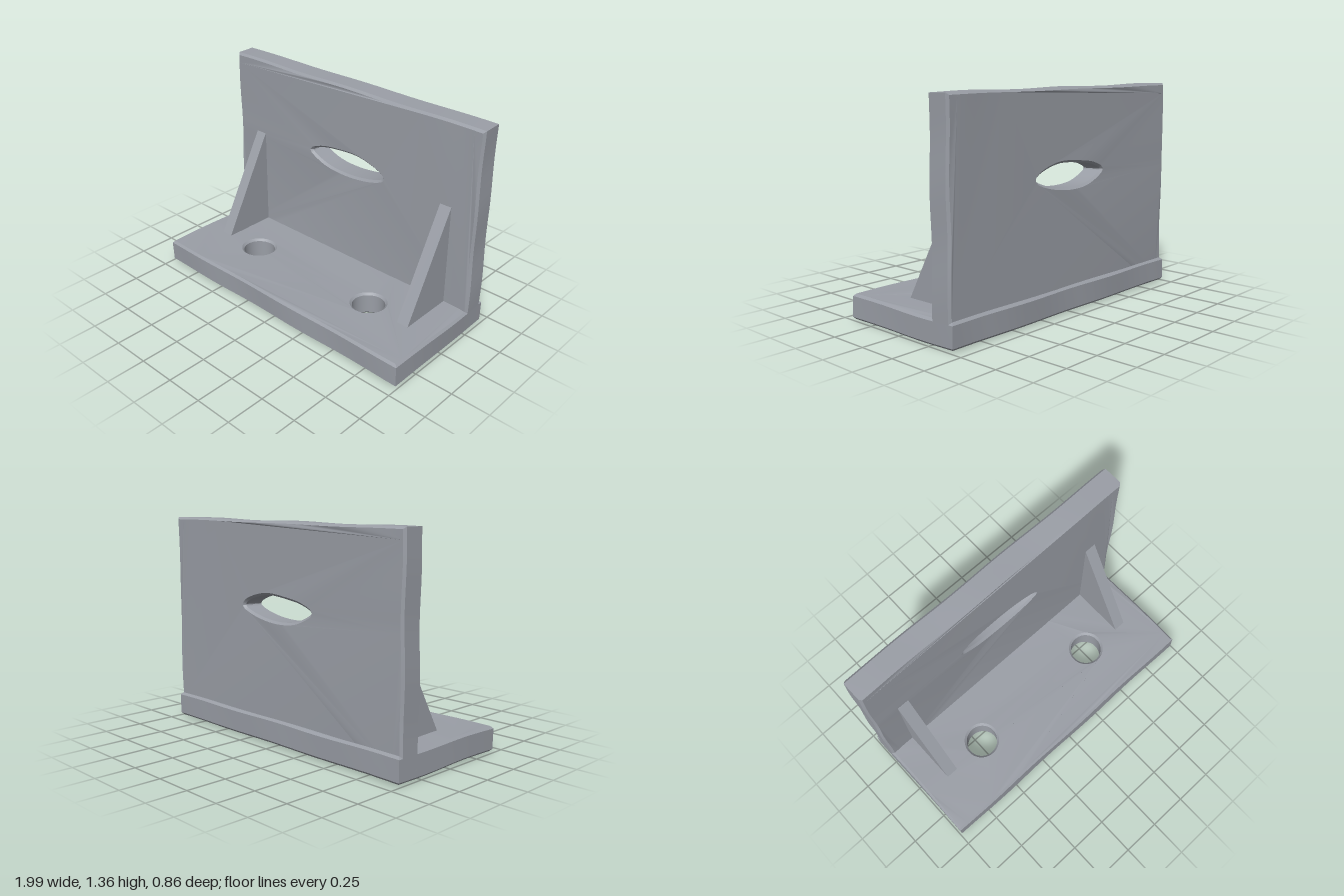
import * as THREE from 'three';
import { toCreasedNormals } from 'three/addons/utils/BufferGeometryUtils.js';

const steel = new THREE.MeshStandardMaterial({ color: 0x9a9ea6 });
steel.name = 'grey steel';

const EDGE = 0.014;

// Rectangle outline with subdivided sides, so the edges can be made uneven.
function plateOutline(x0, y0, x1, y1, step = 0.07) {
  const corners = [[x0, y0], [x1, y0], [x1, y1], [x0, y1]];
  const points = [];
  corners.forEach(([ax, ay], i) => {
    const [bx, by] = corners[(i + 1) % 4];
    const n = Math.max(2, Math.round(Math.hypot(bx - ax, by - ay) / step));
    for (let k = 0; k < n; k++) {
      points.push(new THREE.Vector2(ax + (bx - ax) * k / n, ay + (by - ay) * k / n));
    }
  });
  return new THREE.Shape(points);
}

// Plate with slightly broken edges, its depth running from 0 to thickness.
function plateGeometry(shape, thickness) {
  const geometry = new THREE.ExtrudeGeometry(shape, {
    depth: thickness - 2 * EDGE, curveSegments: 20, bevelEnabled: true,
    bevelThickness: EDGE, bevelSize: EDGE, bevelOffset: -EDGE, bevelSegments: 1,
  });
  return geometry.translate(0, 0, EDGE);
}

// Gentle hand-made unevenness.
function makeUneven(geometry) {
  const p = geometry.attributes.position;
  for (let i = 0; i < p.count; i++) {
    const x = p.getX(i), y = p.getY(i), z = p.getZ(i);
    p.setXYZ(i,
      x + 0.003 * Math.sin(11 * y + 5 * z),
      y + 0.005 * Math.cos(8 * x + 0.5) * Math.cos(3 * z) + 0.003 * Math.sin(9 * z),
      z + 0.003 * Math.sin(8 * x + 7 * y));
  }
  return toCreasedNormals(geometry, 0.35);
}

function addMesh(group, name, geometry) {
  const mesh = new THREE.Mesh(geometry, steel);
  mesh.name = name;
  group.add(mesh);
  return mesh;
}

export function createModel() {
  const group = new THREE.Group();
  group.name = 'angleBracket';

  // Base plate with two bolt holes (shape y is -z)
  const base = plateOutline(-0.99, -0.428, 0.99, 0.428);
  for (const x of [-0.49, 0.485]) {
    base.holes.push(new THREE.Path().absarc(x, -0.07, 0.104, 0, Math.PI * 2, true));
  }
  const baseGeometry = plateGeometry(base, 0.155).rotateX(-Math.PI / 2).translate(0, 0.009, 0);
  addMesh(group, 'basePlate', makeUneven(baseGeometry));

  // Upright plate with a lens-shaped slot
  const wall = plateOutline(-0.99, 0.06, 0.99, 1.362);
  const slot = [
    [-0.3, 0.85], [-0.22, 0.887], [-0.08, 0.908], [0.08, 0.918], [0.2, 0.896], [0.28, 0.862],
    [0.296, 0.84], [0.24, 0.81], [0.1, 0.776], [-0.04, 0.766], [-0.16, 0.78], [-0.26, 0.82],
  ].map(([x, y]) => new THREE.Vector3(x, y, 0));
  const slotCurve = new THREE.CatmullRomCurve3(slot, true);
  wall.holes.push(new THREE.Path(
    slotCurve.getPoints(48).slice(0, -1).map((v) => new THREE.Vector2(v.x, v.y))));
  addMesh(group, 'uprightPlate', makeUneven(plateGeometry(wall, 0.15).translate(0, 0, -0.41)));

  // Triangular gussets (shape x is z), sunk slightly into both plates
  const rib = new THREE.Shape([
    [-0.3, 0.13], [0.125, 0.13], [0.105, 0.167], [-0.26, 0.832], [-0.3, 0.832],
  ].map(([z, y]) => new THREE.Vector2(z, y)));
  const ribGeometry = new THREE.ExtrudeGeometry(rib, { depth: 0.08, bevelEnabled: false });
  ribGeometry.translate(0, 0, -0.04).rotateY(-Math.PI / 2);
  addMesh(group, 'rightGusset', ribGeometry).position.x = -0.78;
  addMesh(group, 'leftGusset', ribGeometry).position.x = 0.78;

  return group;
}
